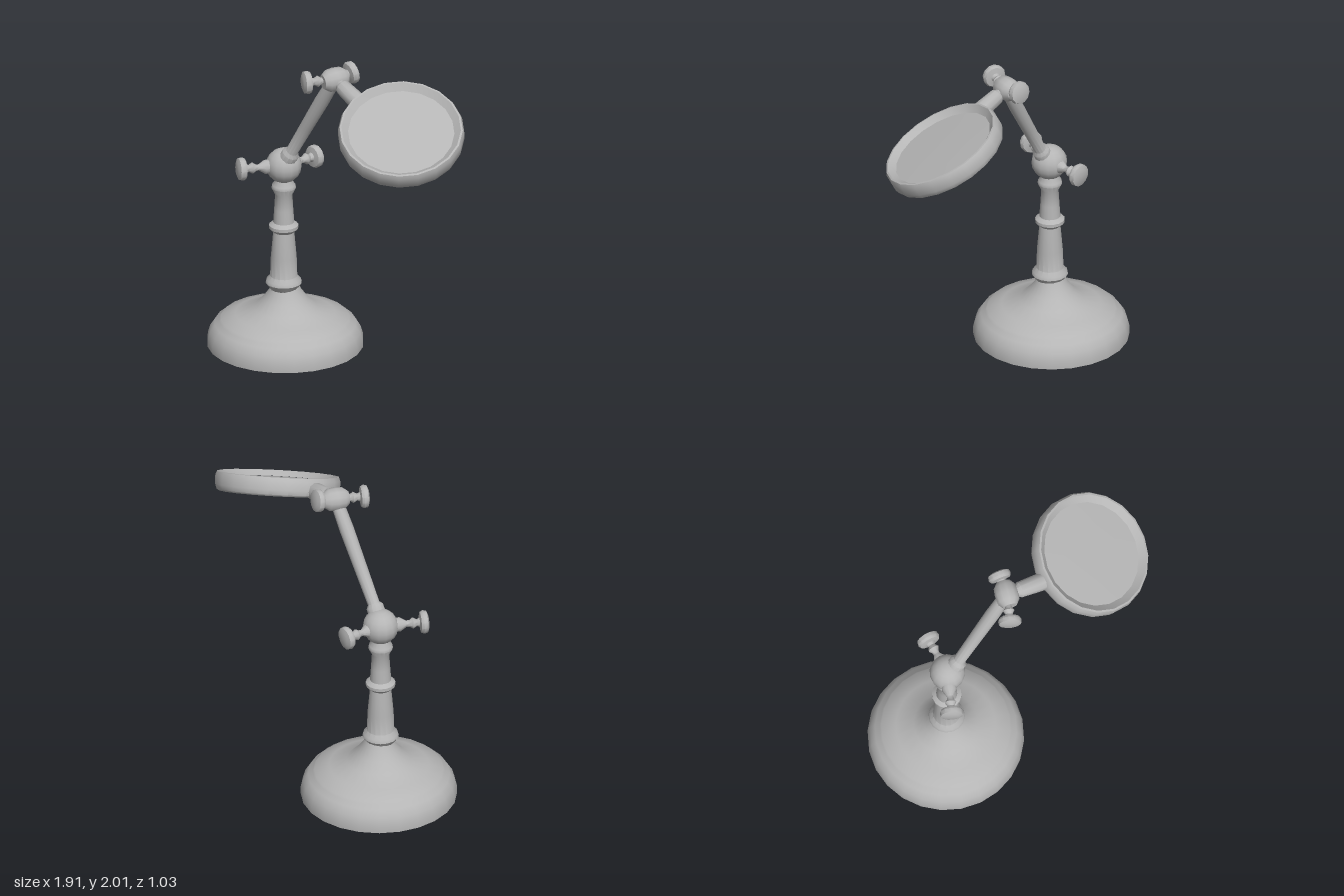
import * as THREE from 'three';
import { toCreasedNormals } from 'three/addons/utils/BufferGeometryUtils.js';

const UP = new THREE.Vector3(0, 1, 0);
const V = (x, y, z) => new THREE.Vector3(x, y, z);

export function createModel() {
  const model = new THREE.Group();
  const metal = new THREE.MeshStandardMaterial({ color: 0xb5b5b5 });
  metal.name = 'grey metal';

  // Turned part: profile of [radius, height] from bottom to top, aimed along dir
  function turned(name, profile, sides, origin, dir = UP) {
    const points = profile.map(([r, y]) => new THREE.Vector2(r, y));
    const geometry = toCreasedNormals(new THREE.LatheGeometry(points, sides), 0.75);
    const mesh = new THREE.Mesh(geometry, metal);
    mesh.name = name;
    mesh.position.copy(origin);
    mesh.quaternion.setFromUnitVectors(UP, dir.clone().normalize());
    model.add(mesh);
    return mesh;
  }

  // Rod between two points with a profile of [radius, fraction of length]
  function rod(name, from, to, profile, sides = 10) {
    const dir = to.clone().sub(from);
    const len = dir.length();
    turned(name, profile.map(([r, t]) => [r, t * len]), sides, from, dir);
  }

  // Thumbscrew: stem, bead and round grip whose middle lies at the given point
  function thumbscrew(name, joint, grip) {
    const dir = grip.clone().sub(joint);
    const d = dir.length();
    turned(name, [
      [0, 0], [0.045, 0], [0.045, d - 0.15], [0.02, d - 0.11], [0.022, d - 0.09],
      [0.036, d - 0.07], [0.022, d - 0.045], [0.03, d - 0.028], [0.065, d - 0.022],
      [0.074, d - 0.006], [0.07, d + 0.018], [0.045, d + 0.028], [0, d + 0.03],
    ], 12, joint, dir);
  }

  // Wide stepped foot
  turned('base', [
    [0, 0.01], [0.46, 0.005], [0.485, 0.015], [0.485, 0.06], [0.47, 0.11], [0.44, 0.155],
    [0.41, 0.175], [0.4, 0.19], [0.31, 0.22], [0.2, 0.262], [0.14, 0.32], [0.1, 0.375],
    [0.085, 0.41], [0, 0.41],
  ], 24, V(-0.475, 0, -0.03));

  // Column with three collars
  turned('column', [
    [0, 0.38], [0.085, 0.39], [0.113, 0.43], [0.108, 0.45], [0.085, 0.475], [0.081, 0.6],
    [0.066, 0.77], [0.092, 0.795], [0.092, 0.815], [0.066, 0.835], [0.06, 0.92],
    [0.054, 1.02], [0.077, 1.065], [0.073, 1.085], [0.05, 1.115], [0.05, 1.17], [0, 1.17],
  ], 16, V(-0.478, 0, -0.018));

  // Lower joint with its two thumbscrews
  const lower = V(-0.475, 1.215, -0.015);
  const ball = new THREE.Mesh(new THREE.SphereGeometry(0.112, 14, 10), metal);
  ball.name = 'lowerJoint';
  ball.position.copy(lower);
  model.add(ball);
  thumbscrew('lowerBackThumbscrew', lower, V(-0.42, 1.21, -0.255));
  thumbscrew('lowerFrontThumbscrew', lower, V(-0.635, 1.22, 0.205));

  // Slanting arm with a cuff at its lower end
  const upper = V(-0.03, 1.925, 0.04);
  rod('arm', V(-0.46, 1.23, 0), upper, [
    [0, 0], [0.055, 0.02], [0.055, 0.13], [0.038, 0.155], [0.042, 0.45], [0.046, 0.75],
    [0.042, 0.95], [0, 0.98],
  ], 12);

  // Upper joint: barrel lying along the screw axis
  rod('upperJoint', V(0.005, 1.93, -0.035), V(-0.067, 1.92, 0.11), [
    [0, 0], [0.045, 0], [0.07, 0.2], [0.075, 0.5], [0.07, 0.8], [0.045, 1], [0, 1],
  ], 12);
  thumbscrew('upperBackThumbscrew', upper, V(0.01, 1.945, -0.075));
  thumbscrew('upperFrontThumbscrew', upper, V(-0.135, 1.925, 0.185));

  // Neck from the upper joint to the head
  rod('neck', upper, V(0.24, 1.84, 0.11), [
    [0, 0], [0.036, 0.02], [0.036, 0.24], [0.05, 0.3], [0.056, 0.75], [0.056, 1], [0, 1],
  ]);

  // Tilted round head: rim around a recessed lens on both faces
  const headCentre = V(0.57, 1.74, 0.135);
  const tilt = V(0.289, 0.883, 0.37);
  turned('headRim', [
    [0.33, -0.015], [0.345, -0.045], [0.365, -0.06], [0.382, -0.05], [0.392, -0.02],
    [0.392, 0.035], [0.382, 0.058], [0.37, 0.06], [0.33, 0.025],
  ], 20, headCentre, tilt);
  turned('lens', [
    [0, -0.022], [0.2, -0.02], [0.335, -0.013], [0.335, 0.024], [0.2, 0.027], [0, 0.029],
  ], 20, headCentre, tilt);

  return model;
}
